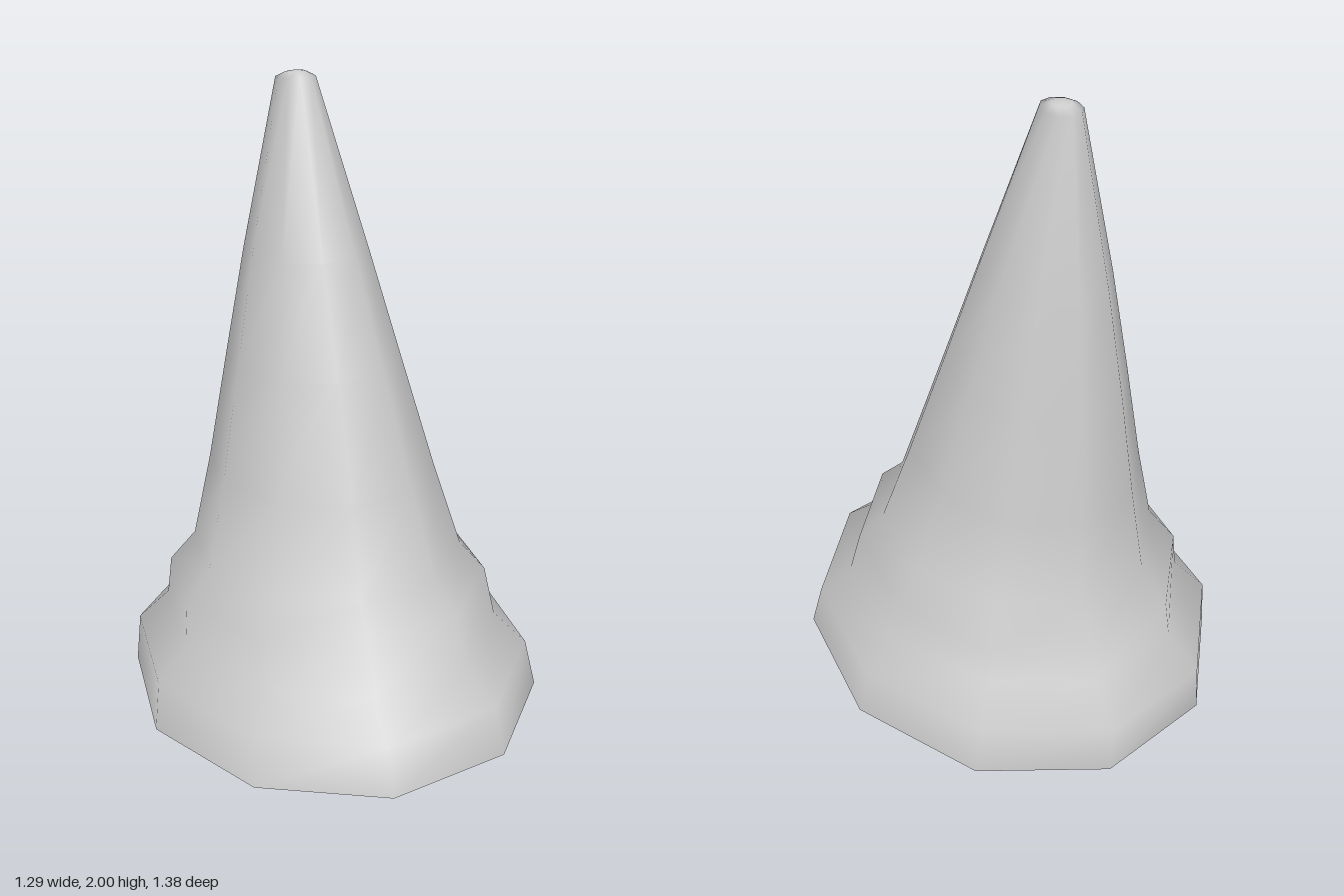
import * as THREE from 'three';

const SIDES = 10;

// Cross-sections, bottom to top: [half width, front z, front y, back z, back y, centre x]
const SECTIONS = [
  [0.645, 0.695, 0.06, -0.69, 0.0, 0],
  [0.62, 0.65, 0.205, -0.685, 0.16, 0],
  [0.52, 0.54, 0.3, -0.58, 0.27, 0],
  [0.5, 0.485, 0.46, -0.565, 0.385, 0],
  [0.42, 0.4, 0.545, -0.475, 0.5, 0],
  [0.343, 0.298, 0.82, -0.441, 0.77, 0],
  [0.262, 0.172, 1.155, -0.4, 1.12, 0],
  [0.184, 0.05, 1.485, -0.35, 1.46, -0.002],
  [0.058, -0.138, 1.986, -0.26, 1.978, -0.004],
  [0.03, -0.175, 1.998, -0.225, 1.994, -0.004],
];

// Tilted ten-sided rings joined into one open-bottomed shell, closed by a tip
function shellGeometry() {
  const positions = [];
  const indices = [];
  const flat = Math.sin(Math.PI * 0.4); // depth reached by the front and back edges
  for (const [halfWidth, frontZ, frontY, backZ, backY, cx] of SECTIONS) {
    for (let i = 0; i < SIDES; i++) {
      const a = (i / SIDES) * Math.PI * 2;
      const s = Math.sin(a) / flat;
      positions.push(
        cx + halfWidth * Math.cos(a),
        (frontY + backY) / 2 + (s * (frontY - backY)) / 2,
        (frontZ + backZ) / 2 + (s * (frontZ - backZ)) / 2
      );
    }
  }
  for (let r = 0; r < SECTIONS.length - 1; r++) {
    for (let i = 0; i < SIDES; i++) {
      const j = (i + 1) % SIDES;
      const a = r * SIDES + i, b = r * SIDES + j;
      const c = a + SIDES, d = b + SIDES;
      indices.push(a, c, b, b, c, d);
    }
  }
  // Tip
  const apex = positions.length / 3;
  const last = apex - SIDES;
  positions.push(-0.004, 2, -0.2);
  for (let i = 0; i < SIDES; i++) indices.push(last + i, apex, last + ((i + 1) % SIDES));

  const geometry = new THREE.BufferGeometry();
  geometry.setAttribute('position', new THREE.Float32BufferAttribute(positions, 3));
  geometry.setIndex(indices);
  geometry.computeVertexNormals();
  return geometry;
}

export function createModel() {
  const group = new THREE.Group();
  group.name = 'pointedHat';
  const material = new THREE.MeshStandardMaterial({ color: 0xcccccc, side: THREE.DoubleSide });
  const shell = new THREE.Mesh(shellGeometry(), material);
  shell.name = 'hatShell';
  group.add(shell);
  return group;
}
